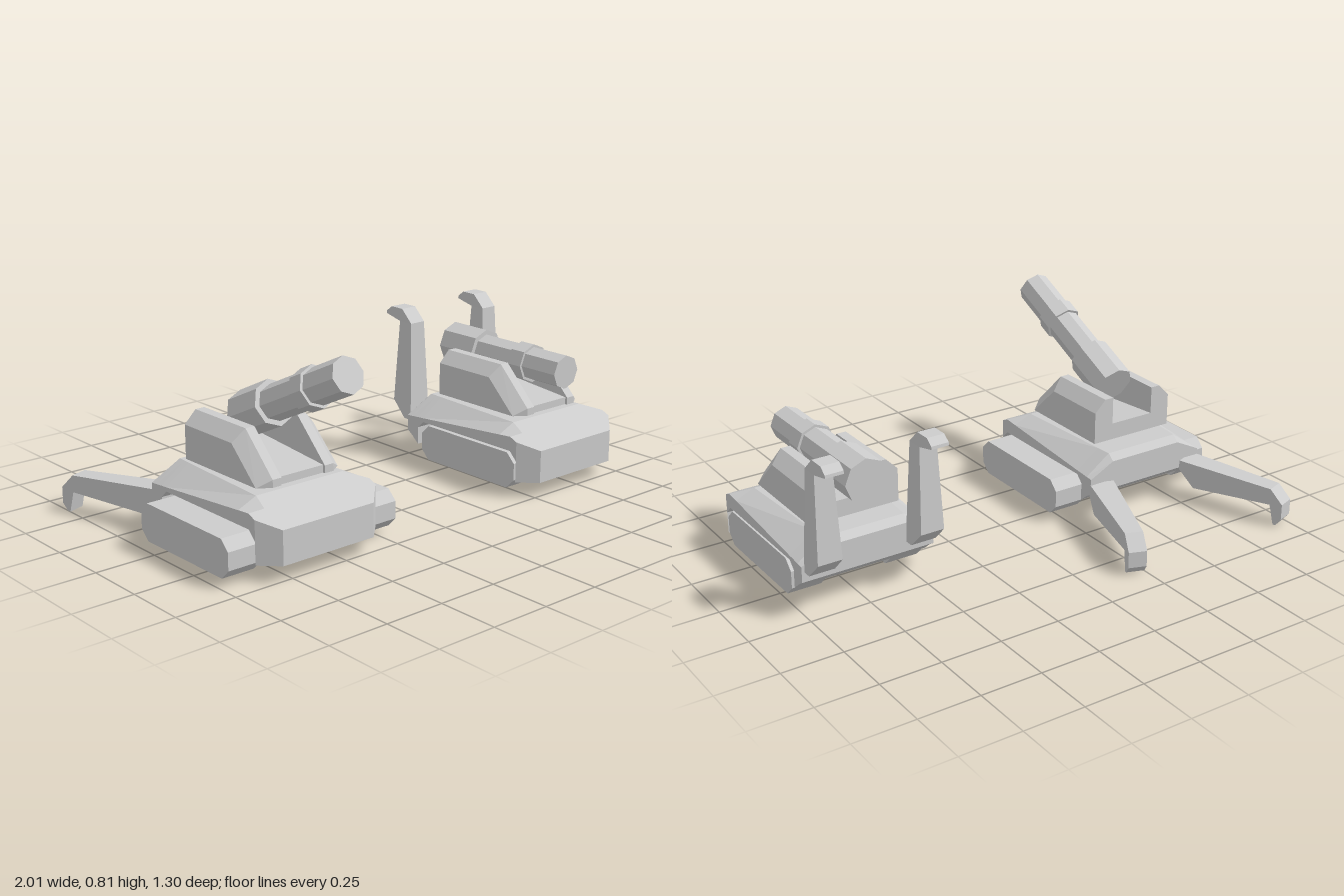
import * as THREE from 'three';

const grey = new THREE.MeshStandardMaterial({ color: 0xcccccc });
grey.name = 'light grey';

function part(name, geometry, parent) {
  const mesh = new THREE.Mesh(geometry, grey);
  mesh.name = name;
  parent.add(mesh);
  return mesh;
}

// Flat-faced solid through rings of equal length, capped at both ends.
// Rings run away from the viewer and are counter-clockwise as seen from the first.
function loft(rings) {
  const n = rings[0].length, pos = [];
  const tri = (a, b, c) => pos.push(...a, ...b, ...c);
  for (let k = 0; k + 1 < rings.length; k++) {
    const a = rings[k], b = rings[k + 1];
    for (let i = 0; i < n; i++) {
      const j = (i + 1) % n;
      tri(a[i], b[i], b[j]);
      tri(a[i], b[j], a[j]);
    }
  }
  const first = rings[0], last = rings[rings.length - 1];
  for (let i = 1; i + 1 < n; i++) {
    tri(first[0], first[i], first[i + 1]);
    tri(last[0], last[i + 1], last[i]);
  }
  const g = new THREE.BufferGeometry();
  g.setAttribute('position', new THREE.Float32BufferAttribute(pos, 3));
  g.computeVertexNormals();
  return g;
}

// Side profile of [z, y] points, extruded across x and centred
function sideExtrude(points, width) {
  const shape = new THREE.Shape(points.map(([z, y]) => new THREE.Vector2(z, y)));
  return new THREE.ExtrudeGeometry(shape, { depth: width, bevelEnabled: false })
    .translate(0, 0, -width / 2).rotateY(-Math.PI / 2);
}

// Hull stations: z, bottom half width, bottom y, side top y, deck half width, deck y
function hullGeometry() {
  const stations = [
    [0.515, 0.21, 0.07, 0.205, 0.21, 0.205],
    [0.445, 0.28, 0.07, 0.24, 0.21, 0.24],
    [0.445, 0.28, 0.16, 0.24, 0.21, 0.24],
    [0.41, 0.28, 0.195, 0.255, 0.21, 0.256],
    [0.35, 0.28, 0.195, 0.25, 0.2, 0.285],
    [-0.1, 0.28, 0.195, 0.212, 0.175, 0.285],
    [-0.13, 0.28, 0.165, 0.21, 0.173, 0.285],
    [-0.13, 0.28, 0.09, 0.21, 0.173, 0.285],
    [-0.165, 0.28, 0.12, 0.207, 0.17, 0.285],
    [-0.195, 0.28, 0.14, 0.205, 0.17, 0.26],
  ];
  return loft(stations.map(([z, w, yb, ys, wt, yt]) => [
    [-w, yb, z], [w, yb, z], [w, ys, z], [wt, yt, z], [-wt, yt, z], [-w, ys, z],
  ]));
}

// Turret cheek with a bevelled outer edge
function cheekGeometry(side) {
  const outer = [[0.335, 0.305], [-0.095, 0.305], [-0.095, 0.44], [0.195, 0.44], [0.335, 0.305]];
  const inner = [[0.37, 0.305], [-0.095, 0.305], [-0.095, 0.49], [0.215, 0.49], [0.37, 0.335]];
  const rings = [[0.19, outer], [0.14, inner], [0.1, inner]]
    .map(([x, ring]) => ring.map(([z, y]) => [side * x, y, z]));
  return loft(side > 0 ? rings : rings.reverse());
}

// Hooked arm rising from its root, narrowing upward
function armGeometry() {
  const g = sideExtrude([
    [0, 0], [-0.04, 0], [-0.11, 0.07], [-0.09, 0.42], [-0.175, 0.44],
    [-0.173, 0.452], [-0.143, 0.475], [-0.077, 0.475], [-0.02, 0.42],
  ], 0.106);
  const p = g.attributes.position;
  for (let i = 0; i < p.count; i++) {
    p.setX(i, p.getX(i) * (1 - 0.3 * Math.min(1, p.getY(i) / 0.42)));
  }
  g.computeVertexNormals();
  return g;
}

// Eight-sided gun with its rear face at the origin, pointing along +z
function buildGun() {
  const gun = new THREE.Group();
  gun.name = 'gun';
  const sections = [
    ['breech', 0, 0.19, 0.09],
    ['barrel', 0.19, 0.645, 0.07],
    ['barrelCollar', 0.395, 0.465, 0.081],
  ];
  for (const [name, from, to, r] of sections) {
    const g = new THREE.CylinderGeometry(r, r, to - from, 8).toNonIndexed();
    g.rotateX(Math.PI / 2).translate(0, 0, (from + to) / 2);
    g.computeVertexNormals();
    part(name, g, gun);
  }
  return gun;
}

function buildVehicle(name, deployed) {
  const v = new THREE.Group();
  v.name = name;
  part('hull', hullGeometry(), v);
  part('turretFloor', sideExtrude([
    [0.36, 0.305], [0.36, 0.335], [-0.095, 0.375], [-0.095, 0.305],
  ], 0.2), v);

  // Tracks, cheeks and rear arms in pairs
  const track = sideExtrude([
    [0.435, 0.075], [0.435, 0.145], [0.395, 0.185], [-0.065, 0.185],
    [-0.105, 0.145], [-0.105, 0.075], [-0.065, 0.035], [0.395, 0.035],
  ], 0.14);
  const arm = armGeometry();
  for (const side of [1, -1]) {
    const label = side > 0 ? 'left' : 'right';
    part(label + 'Track', track, v).position.x = side * (deployed ? 0.32 : 0.21);
    part(label + 'TurretCheek', cheekGeometry(side), v);
    const a = part(label + 'RearArm', arm, v);
    a.position.set(side * (deployed ? 0.224 : 0.215), 0.18, -0.19);
    if (deployed) a.rotation.set(-Math.PI / 2, -side * 0.345, 0, 'YXZ');
  }

  // Gun, raised when deployed
  const gun = buildGun();
  if (deployed) {
    gun.position.set(0, 0.477, 0.035);
    gun.rotation.x = -THREE.MathUtils.degToRad(25);
  } else {
    gun.position.set(0, 0.48, -0.2);
  }
  v.add(gun);
  return v;
}

export function createModel() {
  const model = new THREE.Group();
  model.name = 'artilleryPair';
  const deployed = buildVehicle('deployedVehicle', true);
  deployed.position.x = -0.592;
  const stowed = buildVehicle('stowedVehicle', false);
  stowed.position.x = 0.72;
  model.add(deployed, stowed);
  return model;
}
